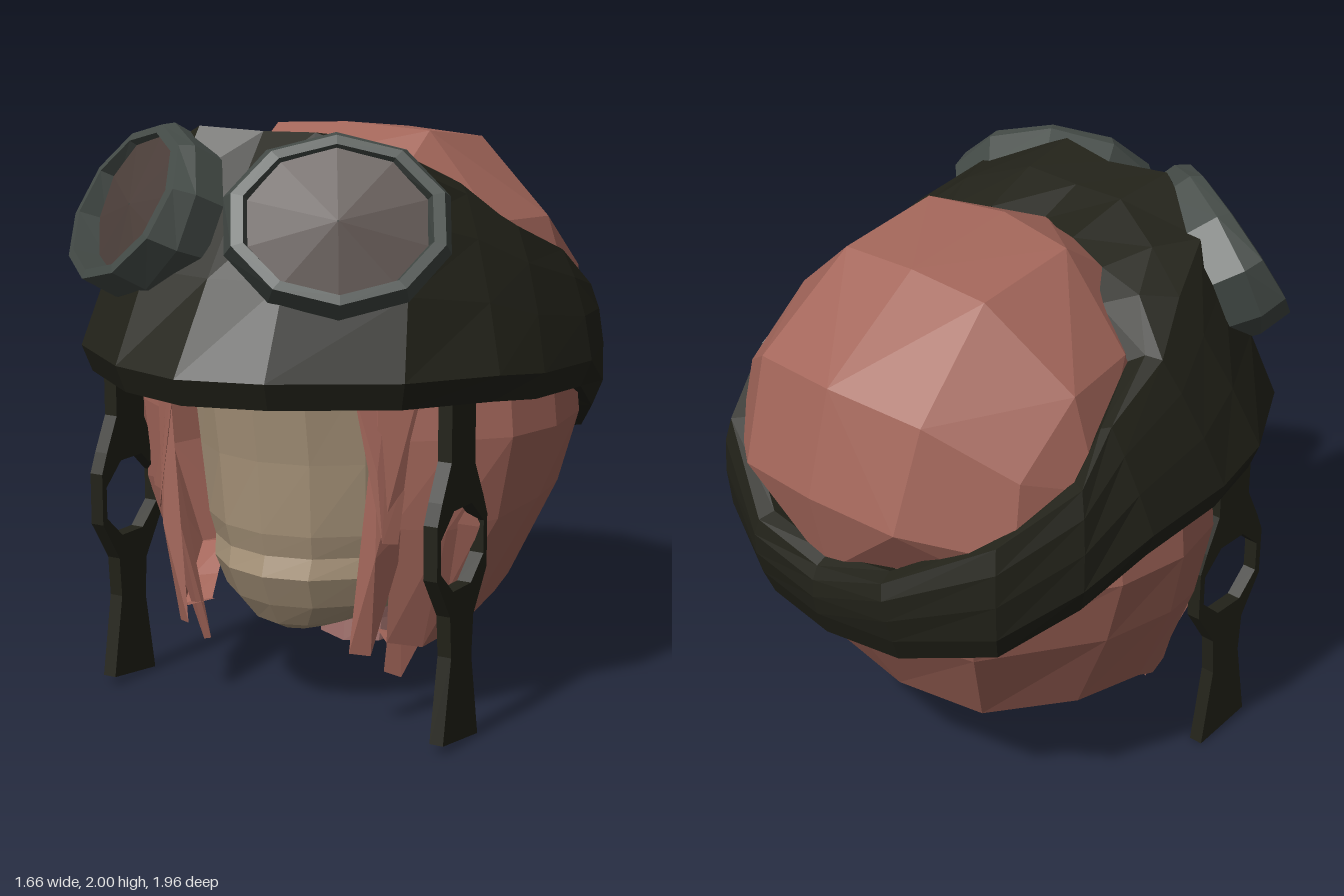
import * as THREE from 'three';
import { ConvexGeometry } from 'three/addons/geometries/ConvexGeometry.js';

const paint = (color) => new THREE.MeshStandardMaterial({ color, flatShading: true, side: THREE.DoubleSide });
const flip = ([x, y, z]) => [-x, y, z];
const mix = (p, q, t) => p.map((a, i) => a + (q[i] - a) * t);
// Scale a point about the vertical axis and lift it
const swell = ([x, y, z], s, lift = 0) => [x * s, y + lift, z * s];

// Surface through columns of points; columns run round the head, points run upwards
function sheet(cols, closed) {
  const n = cols.length, m = cols[0].length, index = [];
  for (let i = 0; i < (closed ? n : n - 1); i++) {
    const k = (i + 1) % n;
    for (let j = 0; j < m - 1; j++) {
      const a = i * m + j, b = k * m + j;
      index.push(a, b, b + 1, a, b + 1, a + 1);
    }
  }
  const g = new THREE.BufferGeometry();
  g.setAttribute('position', new THREE.Float32BufferAttribute(cols.flat(2), 3));
  g.setIndex(index);
  const flat = g.toNonIndexed();
  flat.computeVertexNormals();
  return flat;
}

const hull = (pts) => new ConvexGeometry(pts.map((p) => new THREE.Vector3(...p)));
const mirrored = (cols) => cols.map((c) => c.map(flip)).reverse();

// Stacked rings: [y, half width, front z, back z, rise towards the back]
function rings(list, sides) {
  const cols = [];
  for (let i = 0; i < sides; i++) {
    const a = (i / sides) * Math.PI * 2, t = (1 - Math.cos(a)) / 2;
    cols.push(list.map(([y, w, f, b, rise = 0]) => [Math.sin(a) * w, y + rise * t, f + (b - f) * t]));
  }
  return sheet(cols, true);
}

export function createModel() {
  const model = new THREE.Group();
  const hair = paint(0xa3665a), skin = paint(0xa8947a), neckMat = paint(0xa0706c);
  const dark = paint(0x222219), frameMat = paint(0x444b47), lensMat = paint(0x4d403b);
  const add = (name, geometry, material) => {
    const mesh = new THREE.Mesh(geometry, material);
    mesh.name = name;
    model.add(mesh);
    return mesh;
  };

  // Face and jaw
  add('face', rings([
    [0.28, 0.01, 0.2, 0.18], [0.28, 0.15, 0.33, -0.1, 0.05], [0.31, 0.26, 0.39, -0.35, 0.06],
    [0.39, 0.38, 0.44, -0.54, 0.02], [0.5, 0.41, 0.49, -0.56], [0.57, 0.42, 0.47, -0.56],
    [0.65, 0.44, 0.49, -0.56], [0.9, 0.46, 0.51, -0.5], [1.2, 0.47, 0.56, -0.5],
  ], 16), skin);

  // Neck
  add('neck', rings([
    [0.13, 0.01, -0.18, -0.2, 0.04], [0.13, 0.17, -0.04, -0.35, 0.04],
    [0.22, 0.18, -0.05, -0.34], [0.42, 0.2, -0.02, -0.32],
  ], 8), neckMat);

  // Crown of the hair: a faceted dome, one half mirrored
  const crown = [
    [0, 1.97, -0.06], [0.3, 1.95, -0.1], [0, 1.92, -0.49], [0.3, 1.9, -0.48], [0, 1.88, 0.15],
    [0.3, 1.8, 0.12], [0.35, 1.62, -0.82], [0, 1.65, -0.87], [0.6, 1.65, -0.4], [0.55, 1.66, -0.1],
    [0.6, 1.45, -0.65], [0, 1.3, -0.97], [0.33, 1.28, -0.93], [0.62, 1.2, -0.7], [0.7, 1.35, -0.4],
    [0, 1, -0.9], [0.56, 1.05, -0.66], [0.5, 1.2, 0.4],
  ];
  add('hairCrown', hull([...crown, ...crown.map(flip)]), hair);

  // Lower hair, open at the face; widest point and hem point from cheek to nape
  const lower = [
    [[0.44, 1, 0.4], [0.4, 0.3, 0.35]],
    [[0.62, 1, 0.28], [0.48, 0.27, 0.25]], [[0.75, 1, 0.14], [0.55, 0.32, 0.1]],
    [[0.8, 1, -0.08], [0.6, 0.41, -0.04]], [[0.76, 1, -0.34], [0.53, 0.4, -0.28]],
    [[0.5, 1, -0.77], [0.33, 0.39, -0.54]], [[0, 1, -0.92], [0, 0.39, -0.6]],
  ].map(([wide, hem]) => [
    swell(hem, 0.82, 0.02), hem, swell(mix(hem, wide, 0.58), 1.04), wide, swell(wide, 0.98, 0.17),
  ]);
  add('lowerHair', sheet([...lower, ...mirrored(lower.slice(0, -1))], false), hair);

  // Pointed locks beside the face
  const locks = [
    [[0.34, 1.2, 0.48], [0.43, 1.2, 0.4], [0.42, 0.9, 0.45], [0.48, 0.9, 0.36],
      [0.44, 0.67, 0.45], [0.47, 0.66, 0.4]],
    [[0.41, 1.18, 0.43], [0.52, 1.2, 0.34], [0.42, 0.62, 0.46], [0.48, 0.72, 0.34],
      [0.32, 0.28, 0.46], [0.38, 0.27, 0.42]],
    [[0.52, 1.15, 0.34], [0.46, 0.75, 0.37], [0.67, 0.7, 0.2], [0.54, 0.6, 0.18],
      [0.35, 0.17, 0.28], [0.4, 0.15, 0.25]],
  ];
  for (const lock of locks) {
    add('leftLock', hull(lock), hair);
    add('rightLock', hull(lock.map(flip)), hair);
  }

  // Headband with a peaked front: rim, crest and inner edge, from front centre to back centre
  const band = [
    [[0, 1.26, 0.98], [0, 1.98, 0.46], [0, 1.88, 0.13]],
    [[0.28, 1.26, 0.9], [0.22, 1.99, 0.5], [0.18, 1.89, 0.07]],
    [[0.62, 1.25, 0.63], [0.48, 1.88, 0.36], [0.34, 1.85, 0.03]],
    [[0.79, 1.24, 0.32], [0.57, 1.78, 0.14], [0.41, 1.78, -0.07]],
    [[0.83, 1.21, 0.08], [0.66, 1.66, -0.05], [0.56, 1.64, -0.1]],
    [[0.83, 1.19, -0.28], [0.69, 1.55, -0.33], [0.62, 1.48, -0.35]],
    [[0.76, 1.07, -0.53], [0.72, 1.41, -0.5], [0.62, 1.37, -0.45]],
    [[0.61, 0.94, -0.77], [0.6, 1.27, -0.76], [0.52, 1.24, -0.68]],
    [[0.3, 0.87, -0.92], [0.28, 1.09, -0.94], [0.25, 1.08, -0.83]],
    [[0, 0.86, -0.96], [0, 1.04, -0.95], [0, 1.05, -0.84]],
  ].map(([rim, crest, edge]) => {
    const hem = swell(rim, 0.96, -0.09);
    return [
      swell(hem, 0.85 - 0.3 * Math.max(0, rim[2])), hem, rim,
      swell(mix(rim, crest, 0.4), 1.02), swell(mix(rim, crest, 0.75), 1.02),
      crest, swell(mix(crest, edge, 0.5), 1, 0.02), edge,
    ];
  });
  add('headband', sheet([...band, ...mirrored(band.slice(1, -1))], true), dark);

  // Goggles: thin faceted frame tilted up and outwards, its lip deepest at the bottom
  const n = new THREE.Vector3(0.5, 0.36, 0.77).normalize();
  const u = new THREE.Vector3(0.84, 0, -0.545).normalize();
  const v = new THREE.Vector3().crossVectors(n, u);
  const centre = new THREE.Vector3(0.38, 1.73, 0.63);
  const loop = (profile) => Array.from({ length: 10 }, (_, i) => {
    const a = ((i + 0.5) / 10) * Math.PI * 2;
    return profile.map(([s, d, lip = 0]) => centre.clone()
      .addScaledVector(u, Math.cos(a) * 0.36 * s)
      .addScaledVector(v, Math.sin(a) * 0.29 * s)
      .addScaledVector(n, d + lip * (1 - Math.sin(a))).toArray());
  });
  const frame = loop([[0.97, -0.14], [1.03, -0.03], [0.96, 0.01, 0.045], [0.85, 0.02, 0.04], [0.8, -0.02]]);
  const lens = loop([[0.86, 0], [0.01, 0.03]]);
  add('leftGoggleFrame', sheet(frame, true), frameMat);
  add('rightGoggleFrame', sheet(mirrored(frame), true), frameMat);
  add('leftLens', sheet(lens, true), lensMat);
  add('rightLens', sheet(mirrored(lens), true), lensMat);

  // Hanging straps with an eight-sided eyelet: [y, half width]
  const widths = [
    [1.27, 0.12], [1.14, 0.08], [0.95, 0.08], [0.83, 0.14], [0.76, 0.17],
    [0.58, 0.17], [0.44, 0.08], [0.3, 0.07], [0.015, 0.12],
  ];
  const side = (s) => widths.map(([y, w]) => new THREE.Vector2(s * w, y - s * 0.015));
  const strap = new THREE.Shape([...side(-1), ...side(1).reverse()]);
  strap.holes.push(new THREE.Path(Array.from({ length: 8 }, (_, i) => {
    const a = ((i + 0.5) / 8) * Math.PI * 2;
    return new THREE.Vector2(Math.cos(a) * 0.158, 0.67 + Math.sin(a) * 0.145);
  })));
  const strapGeo = new THREE.ExtrudeGeometry(strap, { depth: 0.05, bevelEnabled: false });
  strapGeo.translate(-0.35, 0, -0.025).rotateY(Math.PI / 2);
  for (const s of [1, -1]) {
    add(s > 0 ? 'leftStrap' : 'rightStrap', strapGeo, dark).position.x = s * 0.655;
  }

  return model;
}
